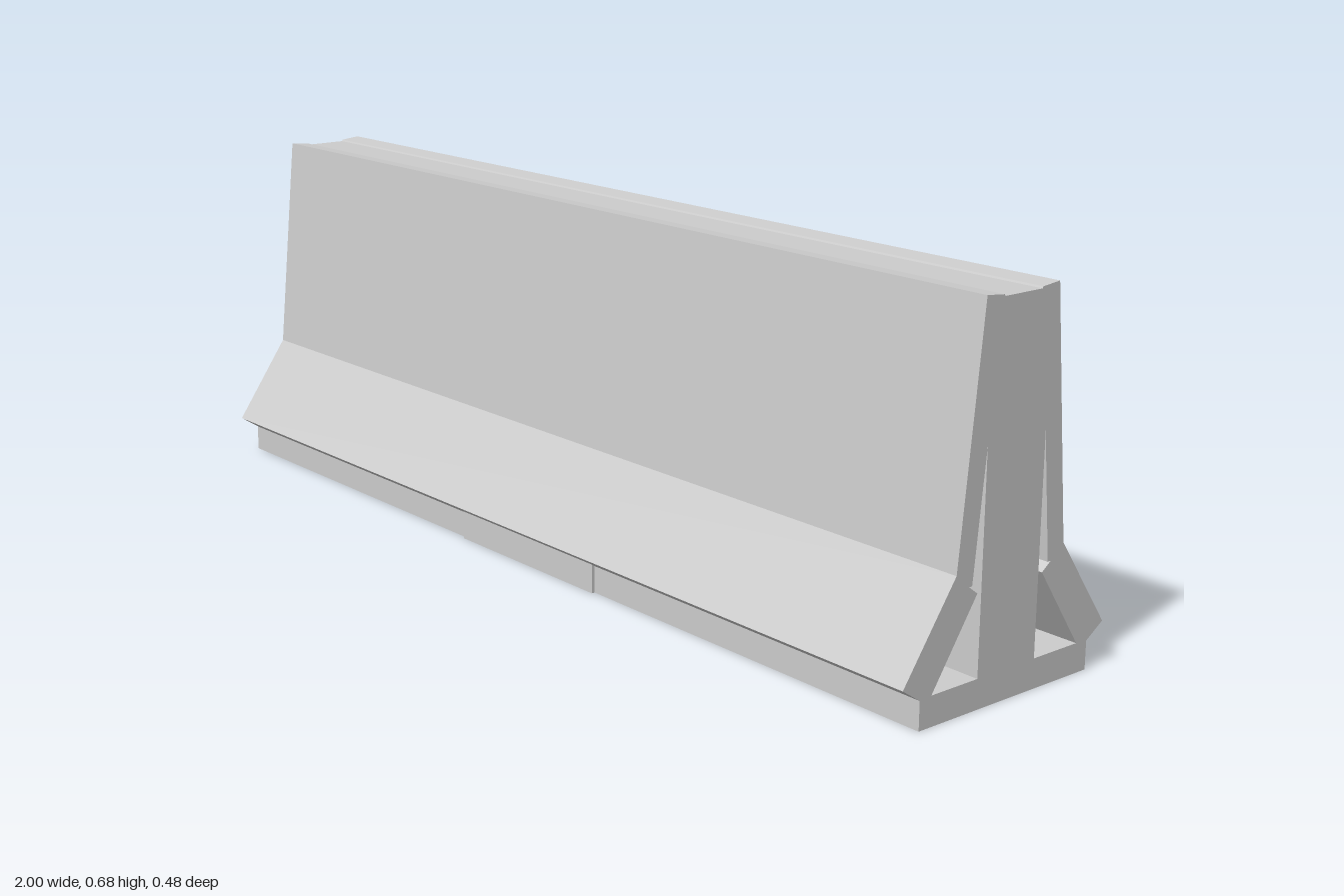
import * as THREE from 'three';

const LENGTH = 2;

export function createModel() {
  const model = new THREE.Group();
  model.name = 'roadBarrier';
  const concrete = new THREE.MeshStandardMaterial({ color: 0xcccccc });
  concrete.name = 'concrete grey';

  const toPoints = (list, side = 1) => list.map(([z, y]) => new THREE.Vector2(z * side, y));

  // Half of the outer cross-section, from the ground up to the shallow top groove
  const half = [
    [0.2, 0], [0.2, 0.051], [0.239, 0.077], [0.127, 0.238],
    [0.084, 0.675], [0.045, 0.671], [0.043, 0.668],
  ];
  const profile = new THREE.Shape([
    ...toPoints(half),
    ...toPoints(half, -1).reverse(),
  ]);

  // Hollow channel on each side of the central web
  const channel = [
    [0.068, 0.053], [0.174, 0.053], [0.077, 0.198],
    [0.097, 0.213], [0.09, 0.213], [0.068, 0.437],
  ];
  for (const side of [1, -1]) profile.holes.push(new THREE.Path(toPoints(channel, side)));

  // Barrier body runs the full length along x
  const bodyGeometry = new THREE.ExtrudeGeometry(profile, { depth: LENGTH, bevelEnabled: false });
  bodyGeometry.translate(0, 0, -LENGTH / 2).rotateY(Math.PI / 2);
  const body = new THREE.Mesh(bodyGeometry, concrete);
  body.name = 'barrierBody';
  model.add(body);

  // Slightly wider block through the middle of the base
  const block = new THREE.Mesh(new THREE.BoxGeometry(0.4, 0.08, 0.413), concrete);
  block.name = 'baseBlock';
  block.position.y = 0.04;
  model.add(block);

  return model;
}
